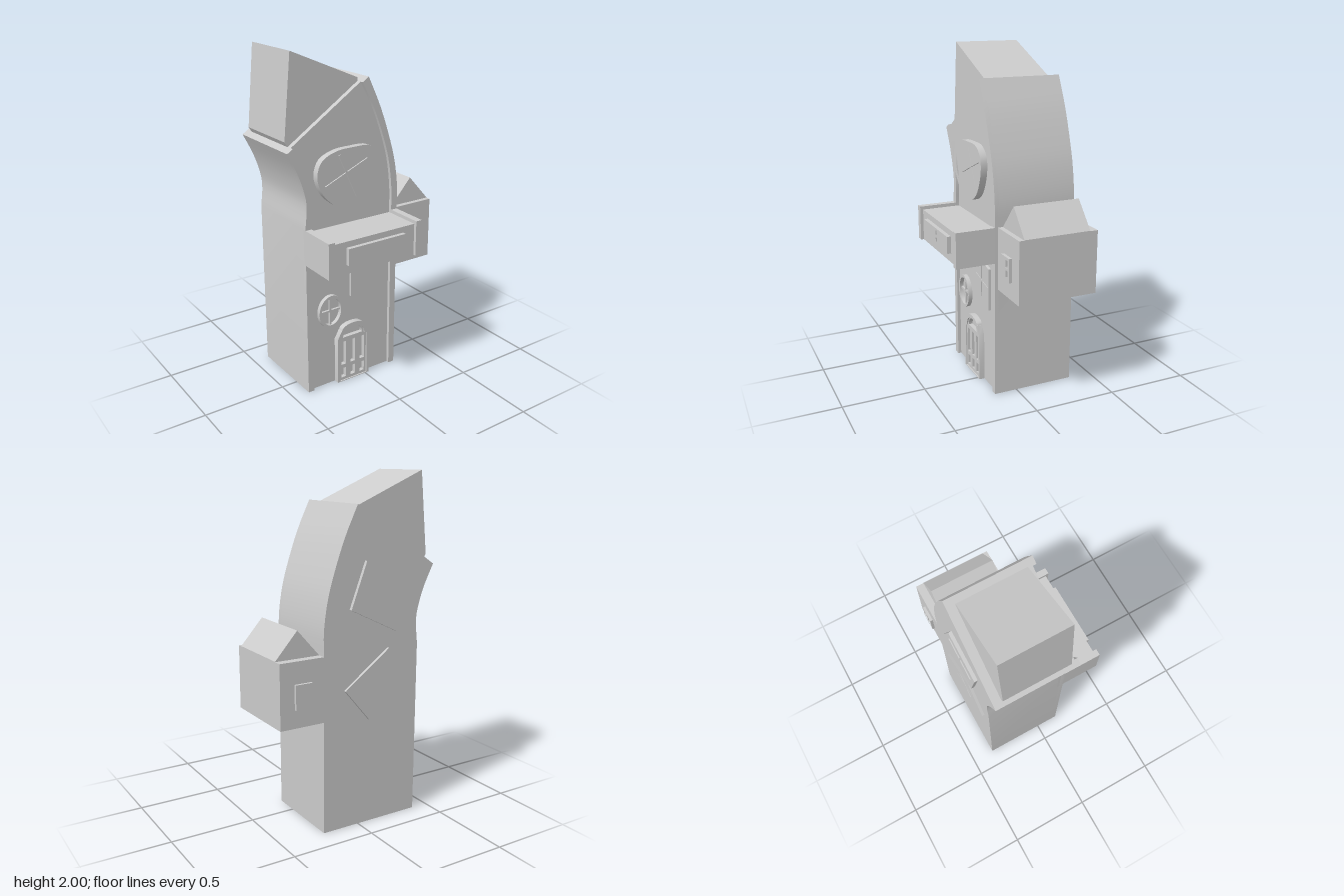
import * as THREE from 'three';
import { toCreasedNormals } from 'three/addons/utils/BufferGeometryUtils.js';

const material = new THREE.MeshStandardMaterial({ color: 0xcccccc });
const vecs = (pts) => pts.map(([x, y]) => new THREE.Vector2(x, y));

// Smooth line through a few points, returned as [x, y] pairs
const smooth = (pts, n, closed = false) => {
  const c = new THREE.CatmullRomCurve3(pts.map(([x, y]) => new THREE.Vector3(x, y, 0)), closed);
  const out = c.getPoints(n).map((p) => [p.x, p.y]);
  if (closed) out.pop();
  return out;
};

const ellipse = (cx, cy, rx, ry, n = 32, from = 0, to = Math.PI * 2) =>
  Array.from({ length: n }, (_, i) => {
    const a = from + ((to - from) * i) / (to - from > 6 ? n : n - 1);
    return [cx + rx * Math.cos(a), cy + ry * Math.sin(a)];
  });

const rect = (x0, x1, y0, y1) => [[x0, y1], [x1, y1], [x1, y0], [x0, y0]];

export function createModel() {
  const model = new THREE.Group();

  // Flat outline, optionally pierced, given thickness from z0 to z1
  function slab(name, outline, z0, z1, holes = [], parent = model) {
    const shape = new THREE.Shape(vecs(outline));
    holes.forEach((h) => shape.holes.push(new THREE.Path(vecs(h))));
    let geo = new THREE.ExtrudeGeometry(shape, { depth: z1 - z0, bevelEnabled: false });
    geo.translate(0, 0, z0);
    geo = toCreasedNormals(geo, 0.5);
    const mesh = new THREE.Mesh(geo, material);
    mesh.name = name;
    parent.add(mesh);
    return mesh;
  }

  // Four-cornered window (top left, top right, bottom right, bottom left) with 2 x 2 panes
  function quadWindow(name, [a, b, c, d], z0, z1, border = 0.13, bar = 0.06, paneZ = null) {
    const group = new THREE.Group();
    group.name = name;
    const at = (u, v) => [0, 1].map((k) =>
      (1 - v) * ((1 - u) * a[k] + u * b[k]) + v * ((1 - u) * d[k] + u * c[k]));
    const spans = [[border, 0.5 - bar / 2], [0.5 + bar / 2, 1 - border]];
    const holes = [];
    for (const [u0, u1] of spans)
      for (const [v0, v1] of spans)
        holes.push([at(u0, v0), at(u1, v0), at(u1, v1), at(u0, v1)]);
    slab('windowFrame', [a, b, c, d], z0, z1, holes, group);
    if (paneZ !== null) {
      const e = border * 0.5;
      slab('windowPane', [at(e, e), at(1 - e, e), at(1 - e, 1 - e), at(e, 1 - e)],
        Math.min(paneZ, (z0 + z1) / 2), Math.max(paneZ, (z0 + z1) / 2), [], group);
    }
    model.add(group);
  }

  // Leaning tower body
  const leftOuter = smooth([[-0.4, 1.03], [-0.388, 1.17], [-0.408, 1.27], [-0.445, 1.37], [-0.5, 1.48]], 12);
  const rightOuter = smooth([[0.23, 1.03], [0.23, 1.17], [0.205, 1.34], [0.165, 1.48], [0.1, 1.66], [0.02, 1.83]], 14);
  const leftInner = smooth([[-0.36, 1.03], [-0.353, 1.17], [-0.372, 1.28], [-0.41, 1.38], [-0.465, 1.503]], 12);
  const rightInner = smooth([[0.19, 1.03], [0.188, 1.17], [0.165, 1.34], [0.125, 1.48], [0.06, 1.65], [-0.02, 1.803]], 14);
  slab('tower', [[-0.4, 0], [0.23, 0], ...rightOuter, ...leftOuter.slice().reverse()], -0.36, 0.12);

  // Raised corner trims on the front
  const strip = (outer, inner) => [...outer, ...inner.slice().reverse()];
  slab('leftTrim', strip([[0.23, 0], ...rightOuter], [[0.19, 0], ...rightInner]), 0.115, 0.14);
  slab('rightTrim', strip([[-0.4, 0], ...leftOuter], [[-0.36, 0], ...leftInner]), 0.115, 0.14);

  // Crooked roof
  slab('roof', [[-0.46, 1.49], [-0.02, 1.79], [-0.02, 1.823], [-0.44, 2], [-0.485, 1.53]], -0.31, 0.09);

  // Balcony with thicker ends and a wide window
  slab('balcony', rect(-0.37, 0.2, 0.82, 1.01), 0.1, 0.355);
  for (const x of [-0.4, 0.19]) slab('balconyEnd', rect(x, x + 0.04, 0.82, 1.03), 0.1, 0.373);
  const wide = new THREE.Group();
  wide.name = 'balconyWindow';
  const panes = [];
  for (const [x0, x1] of [[-0.26, -0.09], [-0.076, 0.095]])
    for (const [y0, y1] of [[0.888, 0.919], [0.931, 0.962]]) panes.push(rect(x0, x1, y0, y1));
  slab('windowFrame', rect(-0.275, 0.11, 0.875, 0.975), 0.35, 0.379, panes, wide);
  slab('windowPane', rect(-0.27, 0.105, 0.88, 0.97), 0.35, 0.367, [], wide);
  model.add(wide);

  // Side room with its gable roof and windows on both ends
  slab('sideRoom', rect(0.22, 0.5, 0.66, 1.03), -0.36, 0.12);
  slab('sideRoof', [[0.232, 1.02], [0.5, 1.02], [0.5, 1.032], [0.366, 1.183], [0.232, 1.032]], -0.312, 0.09);
  const small = rect(0.31, 0.412, 0.765, 0.905);
  quadWindow('sideFrontWindow', small, 0.115, 0.138, 0.12, 0.1);
  quadWindow('sideBackWindow', small, -0.376, -0.355, 0.12, 0.1);

  // Crooked windows on the front and back walls
  quadWindow('slantedWindow', [[-0.095, 0.805], [0.13, 0.75], [0.13, 0.495], [-0.095, 0.545]],
    0.115, 0.136, 0.08, 0.04, 0.126);
  quadWindow('lowerBackWindow', [[-0.34, 0.83], [-0.19, 1.03], [0.1, 0.82], [-0.06, 0.63]],
    -0.376, -0.355, 0.08, 0.04, -0.37);
  quadWindow('upperBackWindow', [[-0.31, 1.46], [-0.03, 1.53], [0.068, 1.27], [-0.24, 1.12]],
    -0.38, -0.355, 0.1, 0.04, -0.373);

  // Large pebble-shaped window with diagonal bars
  const pebble = smooth([[-0.33, 1.33], [-0.3, 1.41], [-0.21, 1.452], [-0.1, 1.46], [0.02, 1.452], [0.075, 1.4],
    [0.085, 1.33], [0.055, 1.23], [0, 1.155], [-0.08, 1.118], [-0.17, 1.122], [-0.26, 1.18], [-0.31, 1.25]], 48, true);
  const scaled = (k) => pebble.map(([x, y]) => [-0.12 + (x + 0.12) * k, 1.3 + (y - 1.3) * k]);
  const big = new THREE.Group();
  big.name = 'pebbleWindow';
  slab('windowFrame', pebble, 0.115, 0.16, [scaled(0.84)], big);
  slab('windowPane', scaled(0.88), 0.115, 0.13, [], big);
  for (const [x0, y0, x1, y1] of [[-0.26, 1.25, 0.02, 1.37], [-0.17, 1.42, -0.05, 1.16]]) {
    const bar = new THREE.Mesh(new THREE.BoxGeometry(Math.hypot(x1 - x0, y1 - y0), 0.012, 0.012), material);
    bar.name = 'windowBar';
    bar.position.set((x0 + x1) / 2, (y0 + y1) / 2, 0.132);
    bar.rotation.z = Math.atan2(y1 - y0, x1 - x0);
    big.add(bar);
  }
  model.add(big);

  // Oval window with a cross
  const oval = new THREE.Group();
  oval.name = 'ovalWindow';
  const [ox, oy] = [-0.237, 0.488];
  slab('windowFrame', ellipse(ox, oy, 0.083, 0.103), 0.115, 0.145, [ellipse(ox, oy, 0.067, 0.086)], oval);
  slab('windowBar', rect(ox - 0.07, ox + 0.07, oy - 0.006, oy + 0.006), 0.115, 0.134, [], oval);
  slab('windowBar', rect(ox - 0.006, ox + 0.006, oy - 0.09, oy + 0.09), 0.115, 0.134, [], oval);
  model.add(oval);

  // Arched door: surround, panelled leaf and fanlight
  const door = new THREE.Group();
  door.name = 'door';
  const dx = -0.088;
  const archTop = (rx, ry, y) => ellipse(dx, y, rx, ry, 17, 0, Math.PI);
  slab('doorSurround',
    [[dx + 0.113, 0], [dx + 0.113, 0.29], [dx + 0.083, 0.345], ...archTop(0.08, 0.035, 0.345),
      [dx - 0.083, 0.345], [dx - 0.113, 0.29], [dx - 0.113, 0]],
    0.115, 0.154, [[[dx + 0.097, 0.004], [dx + 0.097, 0.28], ...archTop(0.08, 0.073, 0.288),
      [dx - 0.097, 0.28], [dx - 0.097, 0.004]]], door);
  const panels = [];
  for (const x of [-0.155, -0.088, -0.022])
    for (const [y0, y1] of [[0.022, 0.085], [0.11, 0.265]]) panels.push(rect(x - 0.017, x + 0.017, y0, y1));
  slab('doorLeaf',
    [[dx + 0.098, 0], [dx + 0.098, 0.281], ...archTop(0.081, 0.074, 0.288), [dx - 0.098, 0.281], [dx - 0.098, 0]],
    0.115, 0.146, [...panels, archTop(0.07, 0.062, 0.292)], door);
  model.add(door);

  return model;
}
